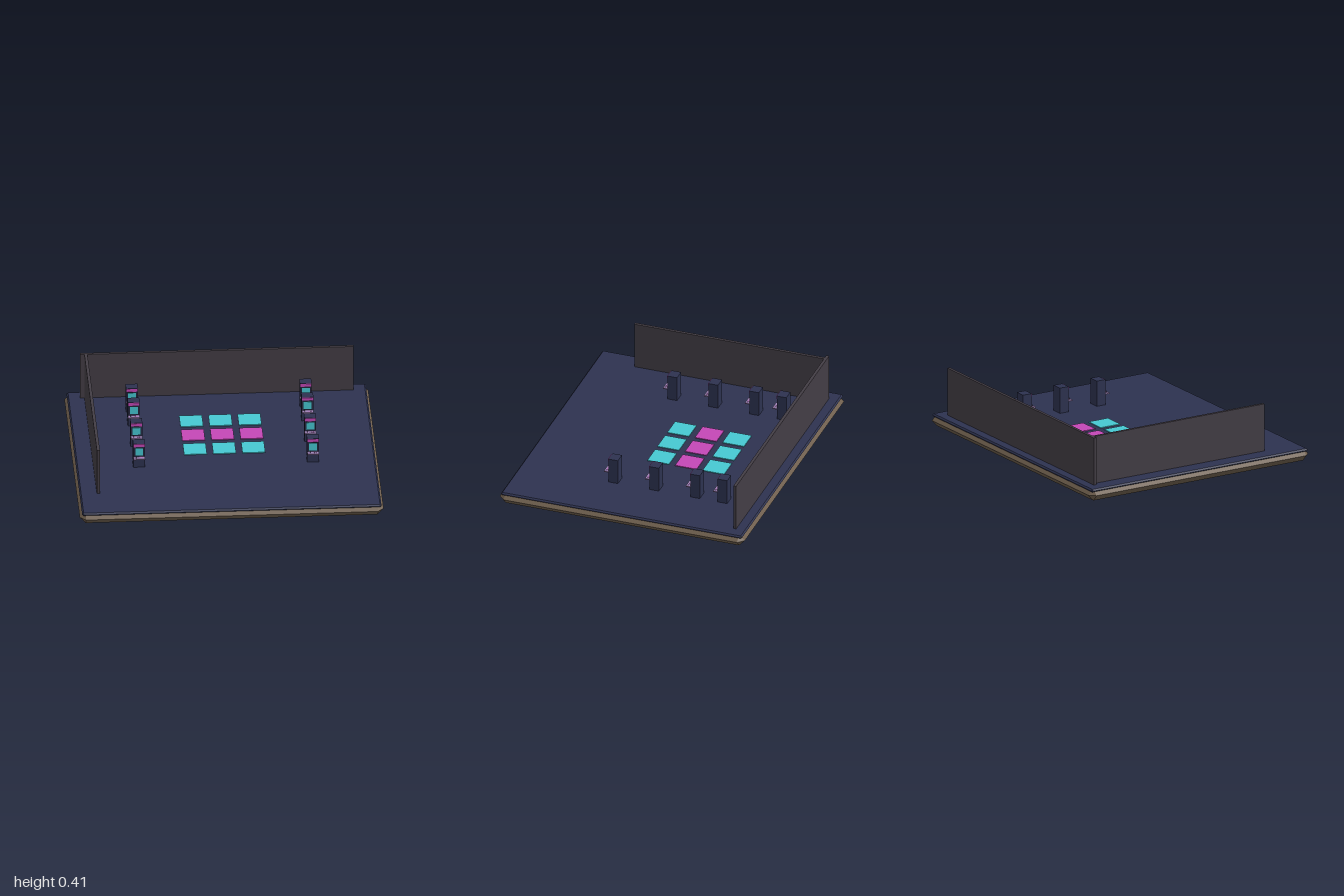
import * as THREE from 'three';

const mat = (color) => new THREE.MeshStandardMaterial({ color, flatShading: true });
const brown = mat(0x6d5d4c), navy = mat(0x2d3250), wallGrey = mat(0x433d45),
  cyan = mat(0x46c8d2), magenta = mat(0xc447b6), lilac = mat(0xa084b8), dark = mat(0x22243a);

// Box from x0..x1, y0..y1, z0..z1
function box(parent, name, material, x0, x1, y0, y1, z0, z1) {
  const mesh = new THREE.Mesh(new THREE.BoxGeometry(x1 - x0, y1 - y0, z1 - z0), material);
  mesh.position.set((x0 + x1) / 2, (y0 + y1) / 2, (z0 + z1) / 2);
  mesh.name = name;
  parent.add(mesh);
  return mesh;
}

// Slab with chamfered edges: sharp rectangles above and below an eight-sided waist
function chamferedSlab(name, material, hx, hz, y0, y1, waist, r) {
  const ring = (y, inset, cut) => {
    const points = [];
    for (const [sx, sz] of [[1, 1], [1, -1], [-1, -1], [-1, 1]]) {
      const a = [sx * (hx - inset - cut), y, sz * (hz - inset)];
      const b = [sx * (hx - inset), y, sz * (hz - inset - cut)];
      points.push(...(sx * sz > 0 ? [a, b] : [b, a]));
    }
    return points;
  };
  const rings = [ring(y0, r, 0), ring(waist, 0, r), ring(y1, r, 0)];
  const pos = [];
  const tri = (a, b, c) => pos.push(...a, ...b, ...c);
  for (let k = 0; k < 2; k++) {
    for (let i = 0; i < 8; i++) {
      const j = (i + 1) % 8;
      tri(rings[k][i], rings[k][j], rings[k + 1][j]);
      tri(rings[k][i], rings[k + 1][j], rings[k + 1][i]);
    }
  }
  for (let i = 1; i < 7; i++) {
    tri(rings[2][0], rings[2][i], rings[2][i + 1]);
    tri(rings[0][0], rings[0][i + 1], rings[0][i]);
  }
  const geo = new THREE.BufferGeometry();
  geo.setAttribute('position', new THREE.Float32BufferAttribute(pos, 3));
  geo.computeVertexNormals();
  const mesh = new THREE.Mesh(geo, material);
  mesh.name = name;
  return mesh;
}

// Upright game cabinet; origin at floor level, centre of the body
function cabinet() {
  const g = new THREE.Group();
  g.name = 'arcadeCabinet';
  const f = 0.033;
  box(g, 'cabinetBody', navy, -0.039, 0.039, 0, 0.174, -f, f);
  box(g, 'marquee', magenta, -0.037, 0.037, 0.152, 0.172, f - 0.01, f + 0.004);
  box(g, 'screenFrame', dark, -0.033, 0.033, 0.085, 0.148, f - 0.01, f + 0.002);
  box(g, 'screen', cyan, -0.026, 0.026, 0.09, 0.142, f - 0.01, f + 0.005);
  box(g, 'controlPanel', lilac, -0.038, 0.038, 0.07, 0.078, f - 0.005, f + 0.032);

  // Joystick and buttons
  const stick = new THREE.Mesh(new THREE.CylinderGeometry(0.002, 0.002, 0.014, 6), dark);
  stick.name = 'joystick';
  stick.position.set(-0.02, 0.084, f + 0.018);
  g.add(stick);
  for (const x of [0.008, 0.02]) {
    const button = new THREE.Mesh(new THREE.CylinderGeometry(0.003, 0.003, 0.003, 8), magenta);
    button.name = 'button';
    button.position.set(x, 0.079, f + 0.018);
    g.add(button);
  }
  return g;
}

export function createModel() {
  const model = new THREE.Group();
  model.name = 'arcadeRoom';
  const floorY = 0.083;

  // Base and floor
  model.add(chamferedSlab('base', brown, 1, 0.855, 0, 0.08, 0.043, 0.04));
  model.add(chamferedSlab('floor', navy, 0.985, 0.842, 0.063, floorY, 0.073, 0.01));

  // Walls along the back and one side
  box(model, 'backWall', wallGrey, -0.9, 0.9, floorY - 0.005, 0.407, -0.773, -0.753);
  box(model, 'sideWall', wallGrey, -0.872, -0.852, floorY - 0.005, 0.407, -0.753, 0.57);

  // Dance floor tiles
  [-0.385, -0.193, 0].forEach((z, row) => {
    for (const x of [-0.192, 0, 0.192]) {
      box(model, 'danceTile', row === 1 ? magenta : cyan,
        x - 0.075, x + 0.075, floorY - 0.004, floorY + 0.005, z - 0.075, z + 0.075);
    }
  });

  // Two rows of cabinets
  for (const x of [-0.572, 0.572]) {
    for (const z of [-0.573, -0.382, -0.096, 0.19]) {
      const c = cabinet();
      c.position.set(x, floorY, z);
      model.add(c);
    }
  }
  return model;
}
